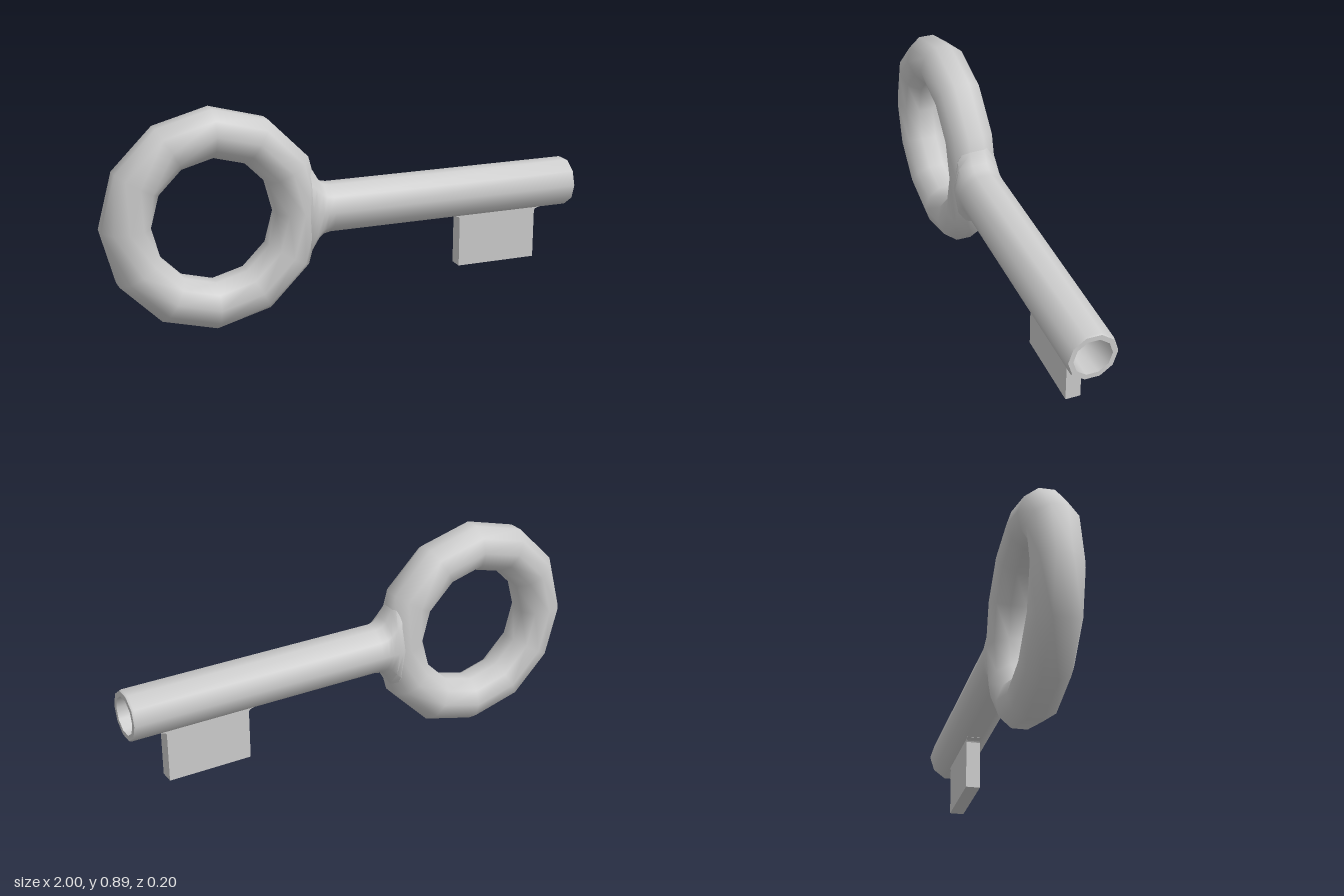
import * as THREE from 'three';
import { toCreasedNormals } from 'three/addons/utils/BufferGeometryUtils.js';

const SIDES = 10;
const AXIS_Y = 0.446;
const RING_X = -0.554;

// Ten-sided torus whose tube has flat inner and outer faces
function ringGeometry(R, r, segments) {
  const geo = new THREE.TorusGeometry(R, r, SIDES, segments);
  const { position, normal, uv } = geo.attributes;
  for (let i = 0; i < position.count; i++) {
    const u = uv.getX(i) * Math.PI * 2;
    const v = (uv.getY(i) + 0.5 / SIDES) * Math.PI * 2;
    const d = R + r * Math.cos(v);
    position.setXYZ(i, d * Math.cos(u), d * Math.sin(u), r * Math.sin(v));
    normal.setXYZ(i, Math.cos(v) * Math.cos(u), Math.cos(v) * Math.sin(u), Math.sin(v));
  }
  return geo;
}

// Skin over ten-sided sections along x, each [x, half height, half depth]
function loft(stations) {
  const points = [];
  const index = [];
  stations.forEach(([x, hy, hz], s) => {
    for (let j = 0; j < SIDES; j++) {
      const a = (j / SIDES) * Math.PI * 2;
      points.push(x, hy * Math.sin(a), hz * Math.cos(a));
      if (s === 0) continue;
      const k = (j + 1) % SIDES;
      const a0 = (s - 1) * SIDES + j, a1 = (s - 1) * SIDES + k;
      const b0 = s * SIDES + j, b1 = s * SIDES + k;
      index.push(a0, b0, b1, a0, b1, a1);
    }
  });
  const geo = new THREE.BufferGeometry();
  geo.setAttribute('position', new THREE.Float32BufferAttribute(points, 3));
  geo.setIndex(index);
  return toCreasedNormals(geo, 0.9);
}

export function createModel() {
  const key = new THREE.Group();
  key.name = 'key';
  const material = new THREE.MeshStandardMaterial({ color: 0xcccccc });

  const add = (name, geo, x, y, z) => {
    const mesh = new THREE.Mesh(geo, material);
    mesh.name = name;
    mesh.position.set(x, y, z);
    key.add(mesh);
  };

  // Round handle
  add('ringHandle', ringGeometry(0.35, 0.101, 12), RING_X, AXIS_Y, 0);

  // Shaft flaring into the ring, with a blind bore at the tip
  add('shaft', loft([
    [-0.2, 0.2, 0.085],
    [-0.17, 0.21, 0.098],
    [-0.15, 0.172, 0.1],
    [-0.125, 0.128, 0.1],
    [-0.105, 0.109, 0.1],
    [-0.075, 0.102, 0.1],
    [0.992, 0.102, 0.1],
    [1, 0.098, 0.096],
    [1, 0.077, 0.076],
    [0.75, 0.075, 0.074],
    [0.75, 0, 0],
  ]), 0, AXIS_Y, 0);

  // Flat bit under the shaft, with small fillets where it joins
  const outline = new THREE.Shape();
  outline.moveTo(0.5, 0.13);
  outline.lineTo(0.848, 0.13);
  outline.lineTo(0.848, 0.335);
  outline.quadraticCurveTo(0.85, 0.346, 0.875, 0.348);
  outline.lineTo(0.875, 0.362);
  outline.lineTo(0.475, 0.362);
  outline.lineTo(0.475, 0.348);
  outline.quadraticCurveTo(0.498, 0.346, 0.5, 0.335);
  outline.closePath();
  const bit = new THREE.ExtrudeGeometry(outline, { depth: 0.06, bevelEnabled: false, curveSegments: 4 });
  add('bit', bit, 0, 0, -0.03);

  return key;
}
